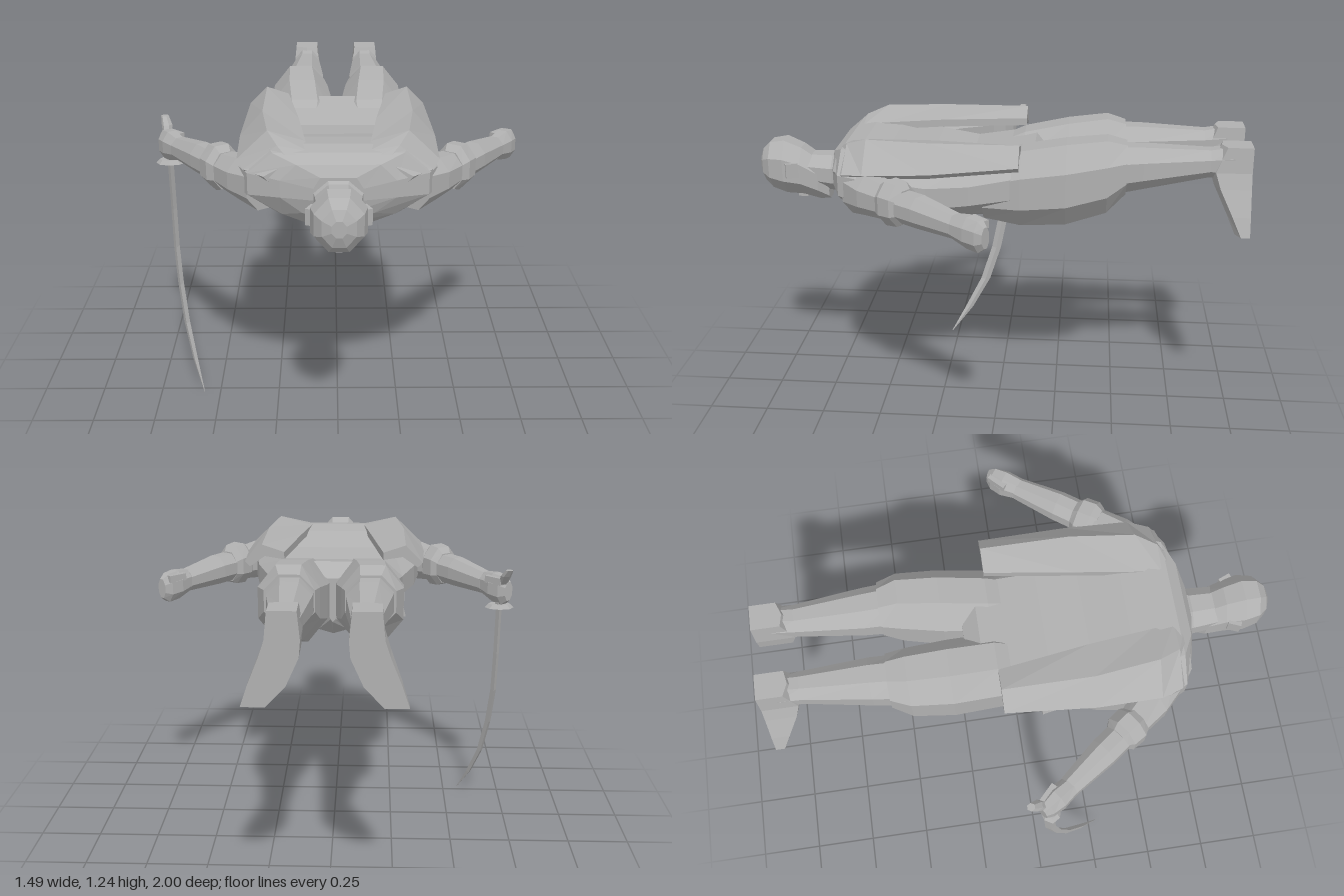
import * as THREE from 'three';

const grey = new THREE.MeshStandardMaterial({ color: 0xb0b0b0, flatShading: true });
grey.name = 'plain grey';

// Skin a list of equal-sized rings of [x, y, z] points and cap both ends.
function loft(name, rings) {
  const n = rings[0].length, tris = [];
  const mid = r => [0, 1, 2].map(k => r.reduce((s, p) => s + p[k], 0) / n);
  for (let i = 0; i < rings.length - 1; i++) {
    for (let j = 0; j < n; j++) {
      const k = (j + 1) % n, a = rings[i], b = rings[i + 1];
      tris.push([a[j], a[k], b[k]], [a[j], b[k], b[j]]);
    }
  }
  const first = rings[0], last = rings[rings.length - 1];
  for (let j = 0; j < n; j++) {
    const k = (j + 1) % n;
    tris.push([first[k], first[j], mid(first)], [last[j], last[k], mid(last)]);
  }
  // Turn the faces outward by the sign of the enclosed volume.
  const v = p => new THREE.Vector3(...p);
  const volume = tris.reduce((s, [a, b, c]) => s + v(a).dot(v(b).cross(v(c))), 0);
  if (volume < 0) tris.forEach(t => t.reverse());
  const geo = new THREE.BufferGeometry();
  geo.setAttribute('position', new THREE.Float32BufferAttribute(tris.flat(2), 3));
  geo.computeVertexNormals();
  const mesh = new THREE.Mesh(geo, grey);
  mesh.name = name;
  return mesh;
}

// Upright oval ring, turned by yaw about y.
function oval(x, y, z, rx, ry, yaw = 0, n = 8) {
  return Array.from({ length: n }, (_, i) => {
    const a = (i + 0.5) / n * Math.PI * 2, k = 1 / Math.cos(Math.PI / n);
    const u = Math.cos(a) * rx * k;
    return [x + u * Math.cos(yaw), y + Math.sin(a) * ry * k, z - u * Math.sin(yaw)];
  });
}

// Oval ring from its limits: x0..x1 and y0..y1 at z.
const span = (z, x0, x1, y0, y1) =>
  oval((x0 + x1) / 2, (y0 + y1) / 2, z, Math.abs(x1 - x0) / 2, (y1 - y0) / 2);

// Level five-sided ring for the feet, toe side at z0.
const flat = (y, x0, x1, z0, z1) => [
  [x0, y, z0], [(x0 + x1) / 2, y, z0 + 0.01], [x1, y, z0 - 0.01], [x1, y, z1], [x0, y, z1]];

function box(name, w, h, d, x, y, z, ry = 0, rz = 0) {
  const m = new THREE.Mesh(new THREE.BoxGeometry(w, h, d), grey);
  m.name = name;
  m.position.set(x, y, z);
  m.rotation.set(0, ry, rz);
  return m;
}

function createModel() {
  const model = new THREE.Group();
  model.name = 'flyingSwordsman';

  // Torso: z, half width, belly y, back y
  const torso = [
    [0.675, 0.09, 0.96, 1.12], [0.65, 0.21, 0.93, 1.16], [0.605, 0.33, 0.895, 1.19],
    [0.53, 0.365, 0.865, 1.2], [0.42, 0.37, 0.85, 1.19], [0.26, 0.34, 0.847, 1.15],
    [0.1, 0.285, 0.86, 1.135], [-0.06, 0.26, 0.868, 1.165], [-0.15, 0.2, 0.885, 1.185],
    [-0.21, 0.03, 0.95, 1.13],
  ].map(([z, w, b, t]) => {
    const h = t - b;
    const half = [[0.3 * w, b + 0.06 * h], [0.62 * w, b + 0.2 * h], [w, b + 0.46 * h],
      [w, b + 0.74 * h], [0.72 * w, t]];
    return [[0, b, z], ...half.map(([x, y]) => [x, y, z]), [0, t, z],
      ...half.reverse().map(([x, y]) => [-x, y, z])];
  });
  model.add(loft('torso', torso));

  // Neck and head, face downward
  model.add(loft('neck', [span(0.6, -0.11, 0.11, 0.94, 1.15),
    span(0.69, -0.085, 0.085, 0.95, 1.1), span(0.82, -0.075, 0.075, 0.97, 1.1)]));
  model.add(loft('head', [span(0.71, -0.05, 0.05, 0.91, 0.97),
    span(0.75, -0.08, 0.08, 0.91, 1.08), span(0.82, -0.088, 0.088, 0.93, 1.13),
    span(0.89, -0.098, 0.098, 0.935, 1.16), span(0.95, -0.085, 0.085, 0.955, 1.15),
    span(0.982, -0.058, 0.058, 0.985, 1.12), span(0.997, -0.025, 0.025, 1.025, 1.085)]));
  model.add(box('nose', 0.025, 0.03, 0.04, 0, 0.925, 0.83));

  for (const s of [1, -1]) {
    const side = s > 0 ? 'left' : 'right';
    const arm = (x, y, z, r, h) => oval(s * x, y, z, r, h, -s * 0.62);
    const leg = (z, x0, x1, y0, y1) => span(z, s * x0, s * x1, y0, y1);

    model.add(box(side + 'Ear', 0.02, 0.06, 0.05, s * 0.096, 1.05, 0.85, s * 0.4));

    // Coat tail: a bent panel running from the shoulder down the back
    const panel = [
      [0.635, 0.1, 1.165, 0.17, 1.165, 0.27, 1.11], [0.585, 0.11, 1.19, 0.22, 1.21, 0.345, 1.12],
      [0.5, 0.12, 1.2, 0.26, 1.24, 0.375, 1.13],
      [0.25, 0.15, 1.21, 0.29, 1.24, 0.38, 1.14], [-0.1, 0.2, 1.21, 0.29, 1.24, 0.36, 1.17],
    ].map(([z, a, ay, b, by, c, cy]) => [
      [s * a, ay, z], [s * b, by, z], [s * c, cy, z],
      [s * (c - 0.02), cy - 0.02, z], [s * (b - 0.01), by - 0.035, z], [s * a, ay - 0.03, z]]);
    model.add(loft(side + 'CoatTail', panel));

    // Arm, cuff and hand
    model.add(loft(side + 'UpperArm', [arm(0.27, 1.05, 0.54, 0.08, 0.1),
      arm(0.35, 1.05, 0.47, 0.075, 0.08), arm(0.45, 1.05, 0.36, 0.055, 0.065)]));
    model.add(loft(side + 'Cuff', [arm(0.425, 1.05, 0.4, 0.055, 0.072),
      arm(0.44, 1.055, 0.375, 0.072, 0.088), arm(0.47, 1.055, 0.33, 0.07, 0.083),
      arm(0.482, 1.05, 0.31, 0.05, 0.065)]));
    model.add(loft(side + 'Forearm', [arm(0.45, 1.05, 0.36, 0.055, 0.06),
      arm(0.53, 1.05, 0.25, 0.055, 0.06), arm(0.64, 1.04, 0.1, 0.04, 0.045)]));
    model.add(loft(side + 'Hand', [arm(0.635, 1.04, 0.11, 0.038, 0.045),
      arm(0.675, 1.035, 0.05, 0.045, 0.06), arm(0.705, 1.03, 0.01, 0.036, 0.06),
      arm(0.722, 1.03, -0.01, 0.02, 0.04)]));
    model.add(box(side + 'Thumb', 0.03, 0.03, 0.08, s * 0.665, 1.07, 0.02, -s * 0.8));

    // Thigh, boot and foot with the toes pointing down and outward
    model.add(loft(side + 'Thigh', [leg(0.05, 0.03, 0.24, 0.9, 1.12),
      leg(-0.1, 0.005, 0.265, 0.875, 1.185), leg(-0.28, 0.018, 0.28, 0.89, 1.22),
      leg(-0.44, 0.04, 0.275, 0.945, 1.24), leg(-0.515, 0.055, 0.245, 1.02, 1.22)]));
    model.add(loft(side + 'Boot', [leg(-0.48, 0.06, 0.24, 1.02, 1.21),
      leg(-0.58, 0.06, 0.23, 1.04, 1.21), leg(-0.84, 0.08, 0.195, 1.09, 1.2),
      leg(-0.93, 0.085, 0.195, 1.08, 1.215)]));
    model.add(loft(side + 'Foot', [
      flat(1.22, s * 0.09, s * 0.19, -0.89, -1), flat(1.12, s * 0.08, s * 0.2, -0.85, -1),
      flat(1.06, s * 0.085, s * 0.22, -0.87, -1), flat(0.96, s * 0.13, s * 0.26, -0.92, -1),
      flat(0.885, s * 0.2, s * 0.285, -0.955, -1)]));
  }

  // Belt pouches on the sword side
  model.add(box('beltPouch', 0.09, 0.15, 0.1, -0.255, 0.96, 0.31));
  model.add(box('smallPouch', 0.06, 0.12, 0.08, -0.25, 0.95, 0.09, 0.2, -0.25));

  // Sword: curved blade, guard and grip
  const blade = [[0.96, -0.69, 0.03, 0.022], [0.75, -0.688, 0.028, 0.022],
    [0.58, -0.685, 0.038, 0.022], [0.42, -0.672, 0.07, 0.022], [0.26, -0.648, 0.122, 0.022],
    [0.12, -0.61, 0.2, 0.018], [0.003, -0.567, 0.282, 0.002],
  ].map(([y, x, z, w]) => [[x, y, z + w], [x + w * 0.55, y, z], [x, y, z - w], [x - w * 0.55, y, z]]);
  model.add(loft('swordBlade', blade));
  const guard = new THREE.Mesh(new THREE.CylinderGeometry(0.045, 0.06, 0.016, 8), grey);
  guard.name = 'swordGuard';
  guard.position.set(-0.69, 0.96, 0.025);
  guard.scale.z = 0.7;
  model.add(guard);
  const grip = (x, y, z, r) => [0, 1, 2, 3, 4, 5].map(i =>
    [x + r * Math.cos(i * Math.PI / 3), y, z + r * Math.sin(i * Math.PI / 3)]);
  model.add(loft('swordGrip', [grip(-0.69, 0.96, 0.025, 0.018), grip(-0.7, 1.06, 0, 0.018),
    grip(-0.705, 1.1, -0.03, 0.022), grip(-0.715, 1.13, -0.055, 0.016)]));

  return model;
}

export { createModel };
